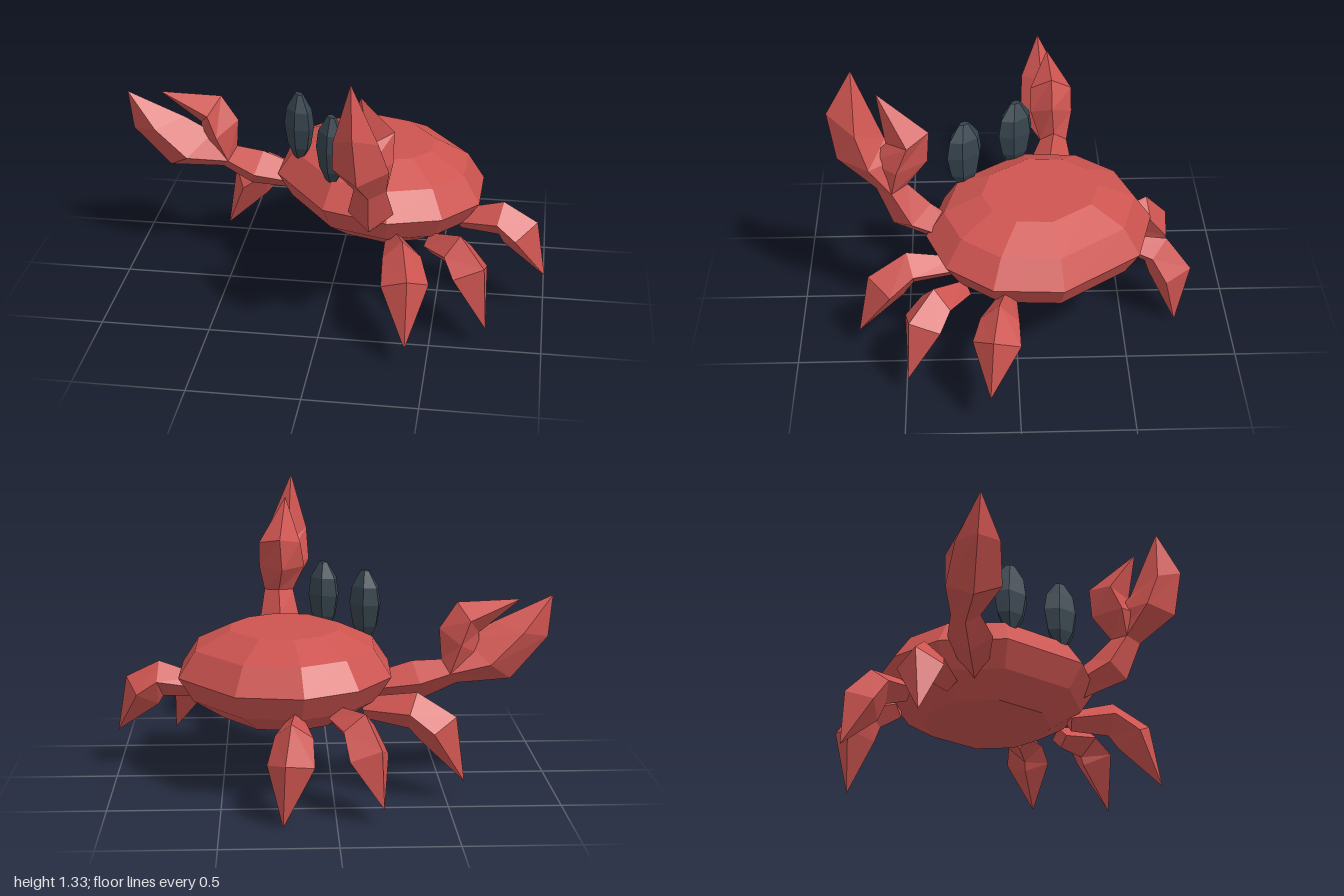
import * as THREE from 'three';

const shellRed = new THREE.MeshStandardMaterial({ color: 0xcd5450 });
shellRed.name = 'shellRed';
const eyeSlate = new THREE.MeshStandardMaterial({ color: 0x36434d });
eyeSlate.name = 'eyeSlate';

const V = (x, y, z) => new THREE.Vector3(x, y, z);

// Closed faceted solid through rings of equal point count, capped at both ends
function solid(name, rings, material) {
  const tris = [];
  const n = rings[0].length;
  const cap = (ring, flip) => {
    const mid = ring.reduce((s, p) => s.add(p), V(0, 0, 0)).divideScalar(n);
    ring.forEach((p, i) => {
      const q = ring[(i + 1) % n];
      tris.push(flip ? [mid, q, p] : [mid, p, q]);
    });
  };
  for (let r = 0; r < rings.length - 1; r++) {
    for (let i = 0; i < n; i++) {
      const j = (i + 1) % n;
      const [a, b, c, d] = [rings[r][i], rings[r][j], rings[r + 1][j], rings[r + 1][i]];
      tris.push([a, b, c], [a, c, d]);
    }
  }
  cap(rings[0], true);
  cap(rings[rings.length - 1], false);

  // Drop collapsed faces, then turn all faces outward by the sign of the volume
  const kept = tris.filter(([a, b, c]) =>
    b.clone().sub(a).cross(c.clone().sub(a)).length() > 1e-7);
  const volume = kept.reduce((s, [a, b, c]) => s + a.dot(b.clone().cross(c)), 0);
  const points = kept.flatMap(([a, b, c]) => (volume < 0 ? [a, c, b] : [a, b, c]));
  const geometry = new THREE.BufferGeometry().setFromPoints(points);
  geometry.computeVertexNormals();
  const mesh = new THREE.Mesh(geometry, material);
  mesh.name = name;
  return mesh;
}

// Elliptical ring around a centre with two half-axis vectors
function ellipse(centre, u, v, n) {
  return Array.from({ length: n }, (_, i) => {
    const a = (i / n) * Math.PI * 2;
    return centre.clone().addScaledVector(u, Math.cos(a)).addScaledVector(v, Math.sin(a));
  });
}

// The creature looks diagonally: these are its forward and sideways directions
const forward = V(-0.8, 0, 0.6);
const sideways = V(0.6, 0, 0.8);

function makeBody() {
  const half = [[0.435, 0.218], [0.245, 0.46], [0, 0.53], [-0.245, 0.46], [-0.435, 0.218]];
  const outline = [...half, ...half.map(([f, s]) => [f, -s]).reverse()];
  const levels = [[0.335, 0.58], [0.425, 0.86], [0.537, 1], [0.657, 0.84], [0.735, 0.51]];
  const rings = levels.map(([y, k]) => outline.map(([f, s]) =>
    V(0.215, y + 0.045 * f * k, -0.11)
      .addScaledVector(forward, f * k).addScaledVector(sideways, s * k)));
  return solid('shell', rings, shellRed);
}

function makeEye(name, x, z) {
  const levels = [[0.65, 0.3], [0.72, 0.78], [0.82, 1], [0.9, 0.85], [0.973, 0.27]];
  const rings = levels.map(([y, k]) => ellipse(V(x, y, z),
    sideways.clone().multiplyScalar(0.097 * k), forward.clone().multiplyScalar(0.06 * k), 6));
  return solid(name, rings, eyeSlate);
}

// Leg: narrow hip, ridged knee and shin of diamond section, pointed foot
function makeLeg(name, path) {
  const pts = path.map((p) => V(...p));
  const heights = [0.05, 0.085, 0.1, 0];
  const widths = [0.045, 0.085, 0.105, 0];
  const run = pts[3].clone().sub(pts[0]).setY(0).normalize();
  const across = V(0, 1, 0).cross(run);
  const rings = pts.map((p, i) => {
    const dir = pts[Math.min(i + 1, 3)].clone().sub(pts[Math.max(i - 1, 0)]).normalize();
    const up = dir.cross(across).normalize();
    return ellipse(p, up.multiplyScalar(heights[i]), across.clone().multiplyScalar(widths[i]), 4);
  });
  return solid(name, rings, shellRed);
}

// Diamond-section limb; rows hold two edge points in a plane, thickness and offset
function makeBlade(name, rows, place) {
  const rings = rows.map(([a1, b1, a2, b2, t, w]) => {
    const a = (a1 + a2) / 2;
    const b = (b1 + b2) / 2;
    return [place(a1, b1, w), place(a, b, w + t), place(a2, b2, w), place(a, b, w - t)];
  });
  return solid(name, rings, shellRed);
}

function makeClaw(name, parts, place) {
  const group = new THREE.Group();
  group.name = name;
  for (const [part, rows] of Object.entries(parts)) group.add(makeBlade(part, rows, place));
  return group;
}

export function createModel() {
  const model = new THREE.Group();
  model.name = 'crab';
  model.add(makeBody());
  model.add(makeEye('leftEye', 0.025, 0.227), makeEye('rightEye', -0.157, -0.01));

  // Walking legs: hip, knee, shin, foot
  const legs = {
    leftFrontLeg: [[0.32, 0.4, 0.28], [0.37, 0.43, 0.48], [0.395, 0.35, 0.59], [0.41, 0.11, 0.72]],
    leftMiddleLeg: [[0.48, 0.38, 0.24], [0.61, 0.41, 0.36], [0.67, 0.34, 0.42], [0.75, 0.1, 0.49]],
    leftBackLeg: [[0.6, 0.42, 0.05], [0.79, 0.45, 0.085], [0.88, 0.39, 0.1], [1, 0.19, 0.13]],
    rightFrontLeg: [[-0.14, 0.4, -0.29], [-0.35, 0.41, -0.385], [-0.46, 0.33, -0.4], [-0.58, 0.085, -0.4]],
    rightMiddleLeg: [[-0.01, 0.41, -0.48], [-0.1, 0.39, -0.6], [-0.14, 0.28, -0.67], [-0.2, 0.075, -0.75]],
    rightBackLeg: [[0.17, 0.4, -0.52], [0.18, 0.37, -0.65], [0.195, 0.26, -0.72], [0.23, 0, -0.75]],
  };
  for (const [name, path] of Object.entries(legs)) model.add(makeLeg(name, path));

  // Raised claw, in the plane of z and y
  model.add(makeClaw('leftClaw', {
    arm: [
      [0.26, 0.44, 0.24, 0.56, 0.06, 0.22],
      [0.55, 0.58, 0.38, 0.68, 0.1, 0.23],
      [0.62, 0.77, 0.48, 0.79, 0.07, 0.235],
    ],
    finger: [
      [0.62, 0.77, 0.48, 0.79, 0.07, 0.235],
      [0.79, 0.91, 0.5, 0.92, 0.12, 0.205],
      [0.825, 1.13, 0.575, 1.0, 0.095, 0.19],
      [0.71, 1.33, 0.71, 1.33, 0, 0.17],
    ],
    thumb: [
      [0.62, 0.77, 0.48, 0.79, 0.07, 0.235],
      [0.66, 0.9, 0.39, 0.9, 0.11, 0.22],
      [0.57, 1.0, 0.38, 1.05, 0.1, 0.23],
      [0.605, 1.23, 0.605, 1.23, 0, 0.2],
    ],
  }, (z, y, x) => V(x, y, z)));

  // Lowered claw, in the plane of x and y
  model.add(makeClaw('rightClaw', {
    arm: [
      [-0.15, 0.41, -0.15, 0.52, 0.06, -0.17],
      [-0.42, 0.42, -0.36, 0.59, 0.1, -0.19],
      [-0.56, 0.49, -0.49, 0.6, 0.065, -0.21],
    ],
    finger: [
      [-0.56, 0.49, -0.49, 0.6, 0.065, -0.21],
      [-0.81, 0.5, -0.6, 0.68, 0.12, -0.175],
      [-0.98, 0.69, -0.73, 0.76, 0.095, -0.16],
      [-1, 0.88, -1, 0.88, 0, -0.15],
    ],
    thumb: [
      [-0.56, 0.49, -0.49, 0.6, 0.065, -0.21],
      [-0.66, 0.62, -0.48, 0.74, 0.1, -0.2],
      [-0.66, 0.72, -0.56, 0.86, 0.1, -0.2],
      [-0.85, 0.87, -0.85, 0.87, 0, -0.19],
    ],
  }, (x, y, z) => V(x, y, z)));

  return model;
}
